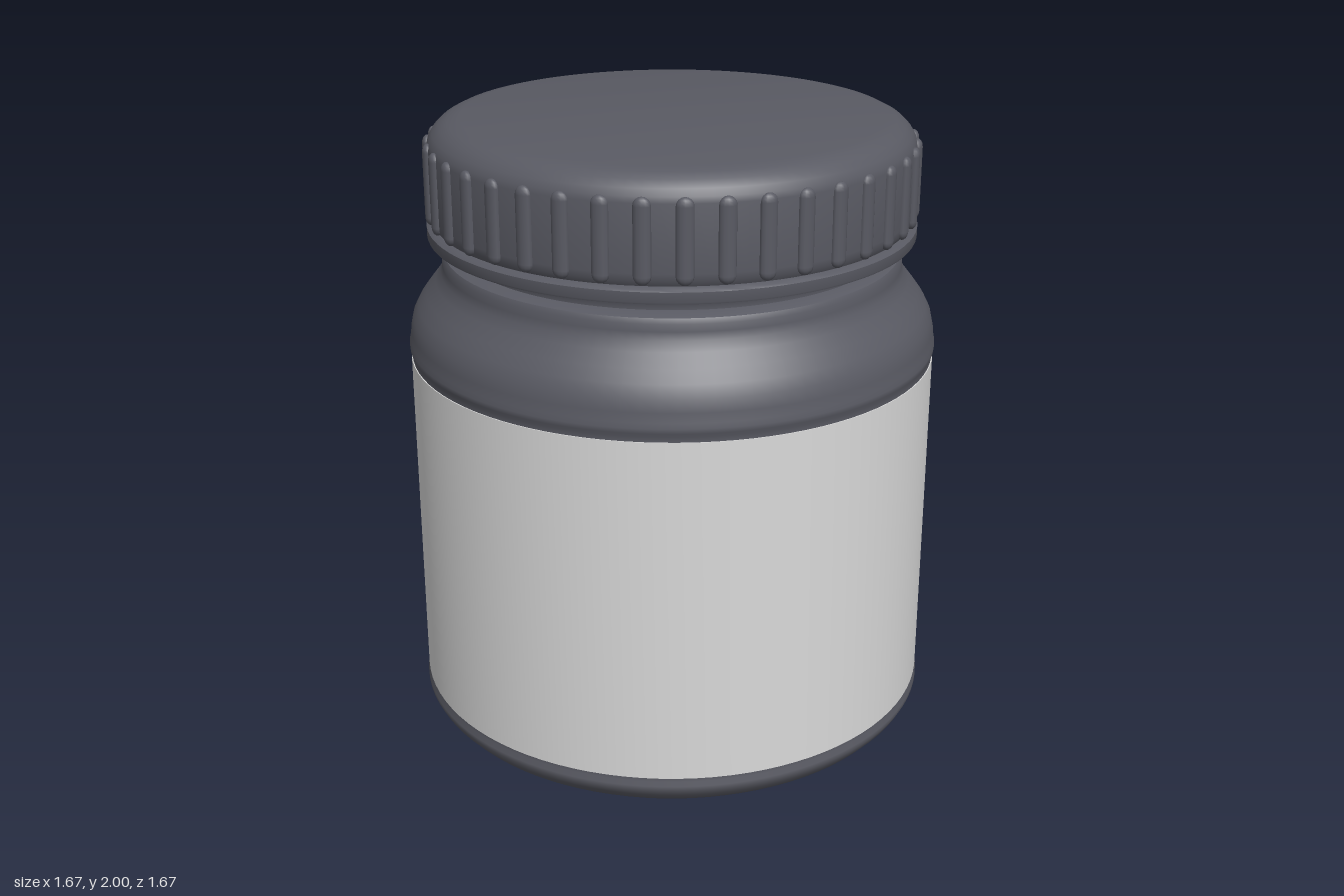
import * as THREE from 'three';
import { toCreasedNormals } from 'three/addons/utils/BufferGeometryUtils.js';

const SEGMENTS = 96;
const RIBS = 40;

// Turned part from [radius, height] pairs listed from bottom to top
function turned(name, profile, material) {
  const points = profile.map(([r, y]) => new THREE.Vector2(r, y));
  const geometry = toCreasedNormals(new THREE.LatheGeometry(points, SEGMENTS), 0.7);
  const mesh = new THREE.Mesh(geometry, material);
  mesh.name = name;
  return mesh;
}

export function createModel() {
  const plastic = new THREE.MeshStandardMaterial({ color: 0x595a63 });
  plastic.name = 'dark plastic';
  const paper = new THREE.MeshStandardMaterial({ color: 0xd9d9d9 });
  paper.name = 'label paper';

  const jar = new THREE.Group();
  jar.name = 'jar';

  // Rounded base with a bead under the label
  jar.add(turned('base', [
    [0, 0], [0.66, 0], [0.71, 0.006], [0.755, 0.022], [0.795, 0.05], [0.822, 0.08],
    [0.835, 0.105], [0.835, 0.118], [0.829, 0.132], [0.829, 0.145],
  ], plastic));

  // Label wrapped around the straight wall
  jar.add(turned('label', [[0.826, 0.145], [0.832, 0.145], [0.832, 1.252], [0.826, 1.252]], paper));

  // Bead, sloping shoulder and threaded neck
  jar.add(turned('shoulder', [
    [0.829, 1.252], [0.829, 1.268], [0.835, 1.28], [0.836, 1.295], [0.831, 1.31], [0.829, 1.34],
    [0.82, 1.38], [0.802, 1.415], [0.775, 1.452], [0.745, 1.49], [0.728, 1.518], [0.722, 1.542],
    [0.722, 1.565], [0.714, 1.58], [0.695, 1.587], [0.672, 1.59],
  ], plastic));
  jar.add(turned('neck', [[0.672, 1.588], [0.672, 1.605], [0.683, 1.625], [0.683, 1.66]], plastic));

  // Lid with a flange at the rim and a softly rounded top
  const lid = new THREE.Group();
  lid.name = 'lid';
  lid.add(turned('lidShell', [
    [0.66, 1.637], [0.762, 1.637], [0.764, 1.642], [0.764, 1.672], [0.758, 1.677], [0.74, 1.682],
    [0.75, 1.7], [0.752, 1.72], [0.752, 1.92], [0.748, 1.938], [0.736, 1.958], [0.715, 1.978],
    [0.688, 1.992], [0.65, 2], [0, 2],
  ], plastic));

  // Grip ribs around the lid
  const ribGeometry = new THREE.CapsuleGeometry(0.026, 0.2, 4, 12);
  ribGeometry.scale(1, 1, 0.65);
  for (let i = 0; i < RIBS; i++) {
    const angle = (i / RIBS) * Math.PI * 2;
    const rib = new THREE.Mesh(ribGeometry, plastic);
    rib.name = 'gripRib';
    rib.position.set(Math.sin(angle) * 0.751, 1.813, Math.cos(angle) * 0.751);
    rib.rotation.y = angle;
    lid.add(rib);
  }
  jar.add(lid);

  return jar;
}
